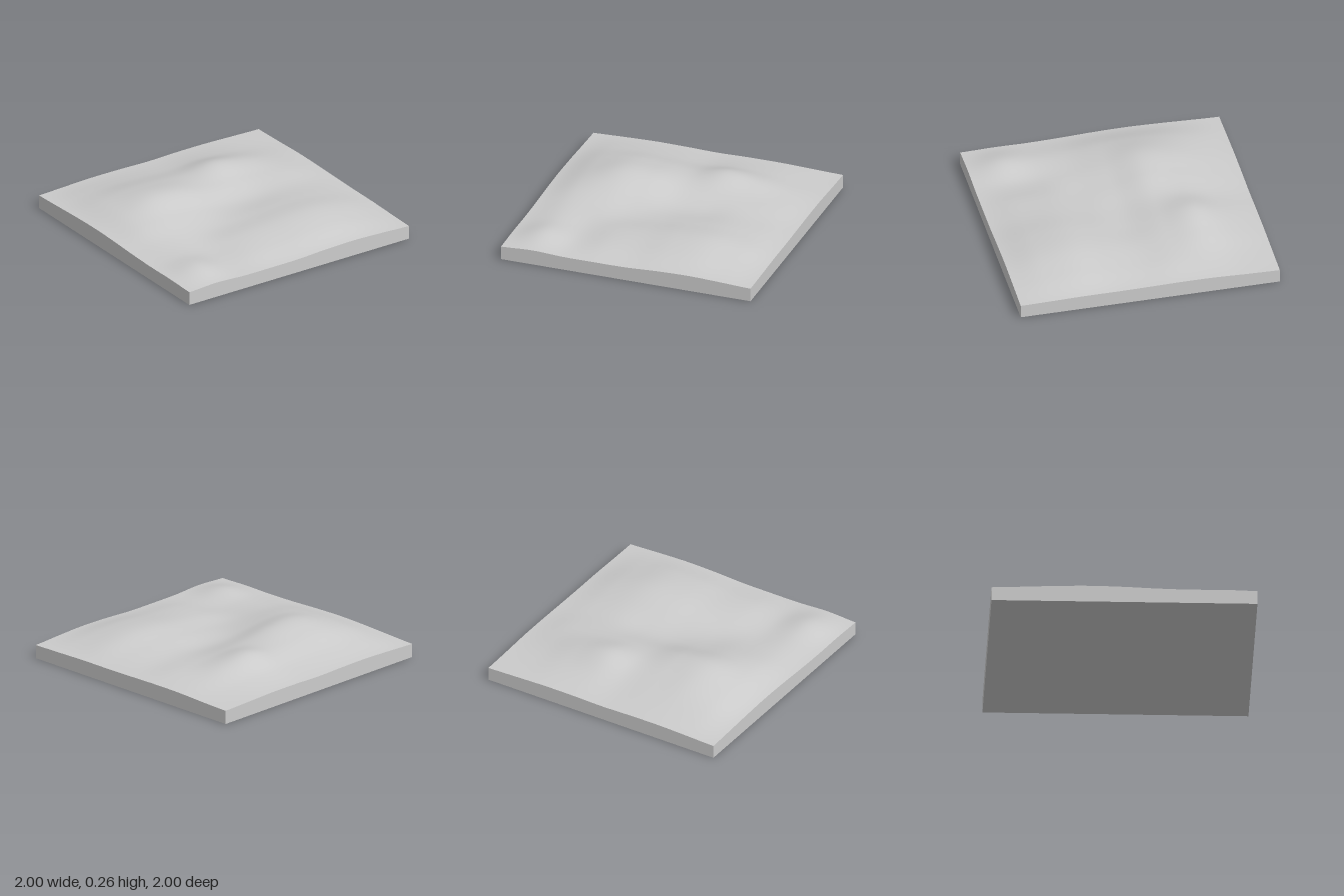
import * as THREE from 'three';

// Ground heights in thousandths, rows from back (z = -1) to front (z = 1), columns from x = -1 to x = 1
const HEIGHTS = [
  [106, 115, 122, 120, 115, 120, 120, 113, 106],
  [115, 150, 162, 156, 146, 160, 150, 126, 112],
  [125, 190, 226, 216, 203, 238, 200, 152, 121],
  [130, 202, 254, 241, 200, 192, 176, 156, 122],
  [125, 185, 200, 175, 147, 146, 156, 142, 118],
  [115, 152, 150, 140, 150, 170, 176, 152, 115],
  [110, 142, 126, 150, 170, 195, 200, 165, 115],
  [112, 160, 121, 140, 150, 172, 175, 145, 110],
  [106, 118, 107, 106, 108, 120, 125, 117, 106],
];
const CELLS = HEIGHTS.length - 1;

// Smooth curve through evenly spaced values, t in 0..CELLS
function spline(values, t) {
  const i = Math.min(Math.floor(t), CELLS - 1);
  const f = t - i;
  const at = (k) => values[THREE.MathUtils.clamp(k, 0, CELLS)];
  const [a, b, c, d] = [at(i - 1), at(i), at(i + 1), at(i + 2)];
  return b + 0.5 * f * (c - a + f * (2 * a - 5 * b + 4 * c - d + f * (3 * (b - c) + d - a)));
}

function groundHeight(x, z) {
  const u = THREE.MathUtils.clamp((x + 1) / 2, 0, 1) * CELLS;
  const v = THREE.MathUtils.clamp((z + 1) / 2, 0, 1) * CELLS;
  return spline(HEIGHTS.map((row) => spline(row, u)), v) / 1000;
}

export function createModel() {
  const group = new THREE.Group();
  group.name = 'terrainTile';

  // Square slab: flat base, straight cut sides, top lifted to the hills
  const geometry = new THREE.BoxGeometry(2, 1, 2, 64, 1, 64);
  const position = geometry.attributes.position;
  for (let i = 0; i < position.count; i++) {
    const isTop = position.getY(i) > 0;
    position.setY(i, isTop ? groundHeight(position.getX(i), position.getZ(i)) : 0);
  }
  geometry.computeVertexNormals();

  const terrain = new THREE.Mesh(geometry, new THREE.MeshStandardMaterial({ color: 0xcccccc }));
  terrain.name = 'hillyGround';
  group.add(terrain);
  return group;
}
